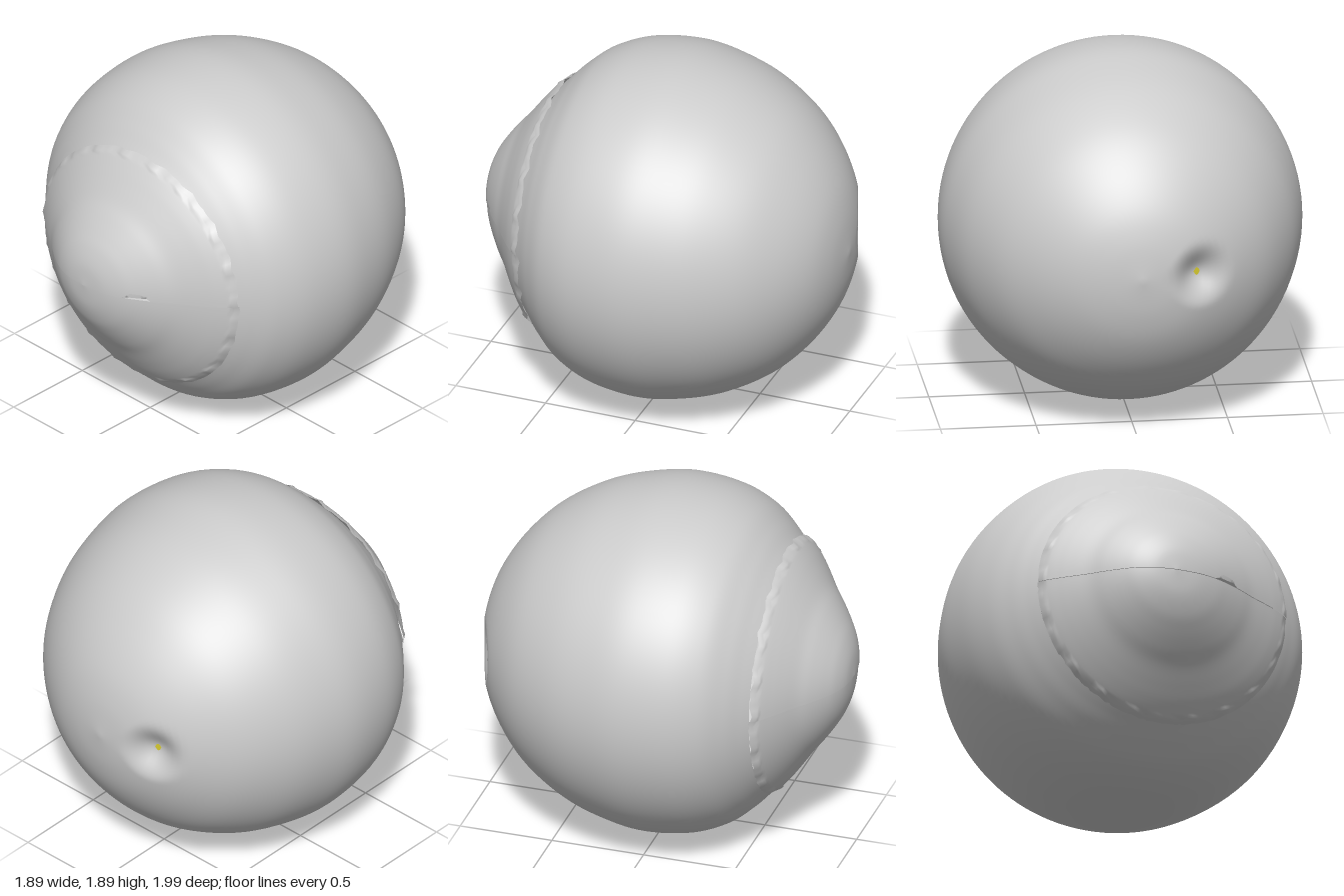
import * as THREE from 'three';
import { mergeVertices } from 'three/addons/utils/BufferGeometryUtils.js';

const grey = new THREE.MeshStandardMaterial({ color: 0xcccccc, side: THREE.DoubleSide });
const yellow = new THREE.MeshStandardMaterial({ color: 0xd8cc30, side: THREE.DoubleSide });

// Lathe around the z axis from [radius, z] points listed back to front,
// then each vertex is moved by the rule "shape".
function turned(name, points, samples, segments, start, length, shape) {
  const curve = new THREE.SplineCurve(points.map(([r, z]) => new THREE.Vector2(r, z)));
  const profile = curve.getPoints(samples).map(p => new THREE.Vector2(Math.max(p.x, 0), p.y));
  let geo = new THREE.LatheGeometry(profile, segments, start, length);
  geo.rotateX(Math.PI / 2);
  geo.deleteAttribute('uv');
  geo.deleteAttribute('normal');
  geo = mergeVertices(geo, 1e-5);
  const pos = geo.attributes.position;
  const v = new THREE.Vector3();
  for (let i = 0; i < pos.count; i++) {
    shape(v.fromBufferAttribute(pos, i));
    pos.setXYZ(i, v.x, v.y, v.z);
  }
  geo.computeVertexNormals();
  const mesh = new THREE.Mesh(geo, grey);
  mesh.name = name;
  return mesh;
}

export function createModel() {
  const model = new THREE.Group();
  model.name = 'eyeball';
  const nerveSpot = new THREE.Vector3(-0.31, 0.0, -0.92);

  // Ball, open at the front, with a small dent at the back for the nerve
  const ball = [[0, -1], [0.2, -0.975], [0.38, -0.915], [0.56, -0.8], [0.72, -0.64], [0.85, -0.42],
    [0.92, -0.2], [0.947, 0], [0.92, 0.23], [0.85, 0.4], [0.76, 0.51], [0.685, 0.58], [0.64, 0.62]];
  model.add(turned('sclera', ball, 72, 112, 0, Math.PI * 2, v => {
    const d = v.distanceTo(nerveSpot);
    if (d < 0.19) v.multiplyScalar(1 - 0.085 * (0.5 + 0.5 * Math.cos(Math.PI * d / 0.19)));
    v.y += 0.95;
  }));

  // Domed cornea in two halves that meet along a horizontal seam
  const dome = [[0.685, 0.6], [0.66, 0.635], [0.6, 0.685], [0.53, 0.735], [0.45, 0.79],
    [0.38, 0.845], [0.3, 0.9], [0.22, 0.945], [0.12, 0.978], [0, 0.99]];
  const seamY = 0.977;
  for (const upper of [true, false]) {
    const start = upper ? Math.PI / 2 : -Math.PI / 2;
    model.add(turned(upper ? 'upperCornea' : 'lowerCornea', dome, 48, 64, start, Math.PI, v => {
      const r = Math.hypot(v.x, v.y);
      const angle = Math.atan2(v.y, v.x);
      // slightly ragged rim
      if (r > 0.66) v.z += 0.006 * Math.sin(angle * 23) + 0.005 * Math.sin(angle * 41);
      v.z -= 0.04 * v.x + (upper ? 0 : 0.006);
      // small notch in the lower edge of the upper half
      const onSeam = Math.abs(v.y) < 1e-4;
      const notch = upper && onSeam ? Math.max(0, 1 - Math.abs(v.x - 0.28) / 0.06) : 0;
      v.y = seamY + v.y * (upper ? 0.94 : 1.025) + 0.035 * Math.min(1, notch * 2) + 0.008 * v.x;
      v.x += 0.04 * Math.min(1, r / 0.6);
    }));
  }

  // Oval nerve stub sitting in the dent
  const nerve = new THREE.Mesh(new THREE.CylinderGeometry(0.085, 0.085, 0.06, 24), yellow);
  nerve.name = 'opticNerve';
  nerve.geometry.scale(0.65, 1, 1).rotateX(Math.PI / 2).rotateZ(-0.3);
  const outward = nerveSpot.clone().normalize();
  nerve.position.copy(outward).multiplyScalar(0.885).add(new THREE.Vector3(0, 0.95, 0));
  nerve.lookAt(nerve.position.clone().add(outward));
  model.add(nerve);

  return model;
}
